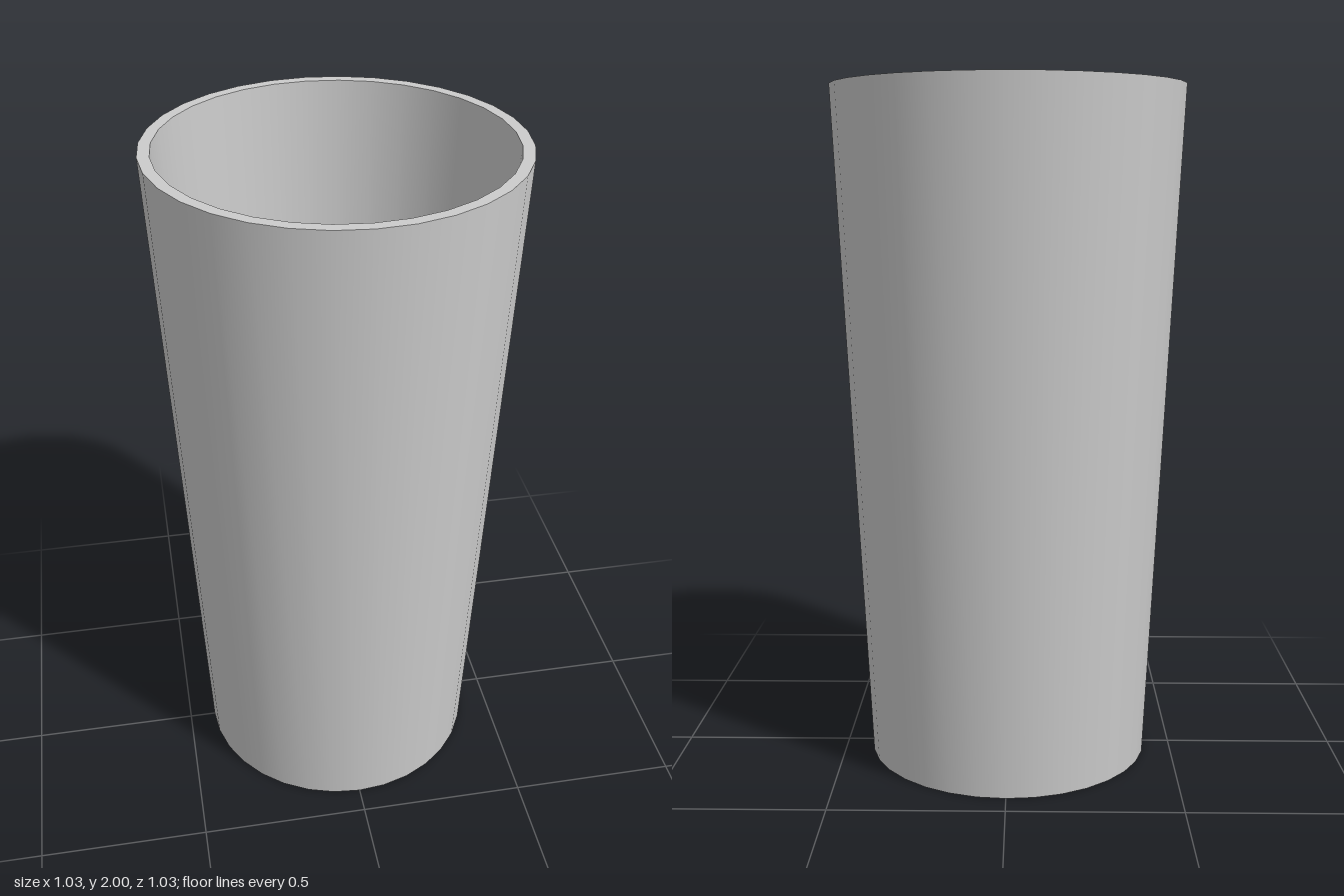
import * as THREE from 'three';

const SIDES = 32;

export function createModel() {
  const group = new THREE.Group();
  group.name = 'tumbler';
  const material = new THREE.MeshStandardMaterial({ color: 0xcccccc });

  // Each straight run of the profile is its own lathe, smooth around and sharp at the edges.
  const addBand = (name, r0, y0, r1, y1) => {
    const points = [new THREE.Vector2(r0, y0), new THREE.Vector2(r1, y1)];
    const mesh = new THREE.Mesh(new THREE.LatheGeometry(points, SIDES), material);
    mesh.name = name;
    group.add(mesh);
  };

  // Profile runs from the underside centre, up the outside, to the inner floor centre
  addBand('recessCeiling', 0, 0.034, 0.363, 0.034);
  addBand('recessWall', 0.363, 0.034, 0.363, 0);
  addBand('footRing', 0.363, 0, 0.42, 0);
  addBand('outerWall', 0.42, 0, 0.516, 2);
  addBand('rim', 0.516, 2, 0.483, 2);
  addBand('innerWall', 0.483, 2, 0.387, 0.067);
  addBand('innerFloor', 0.387, 0.067, 0, 0.067);

  return group;
}
